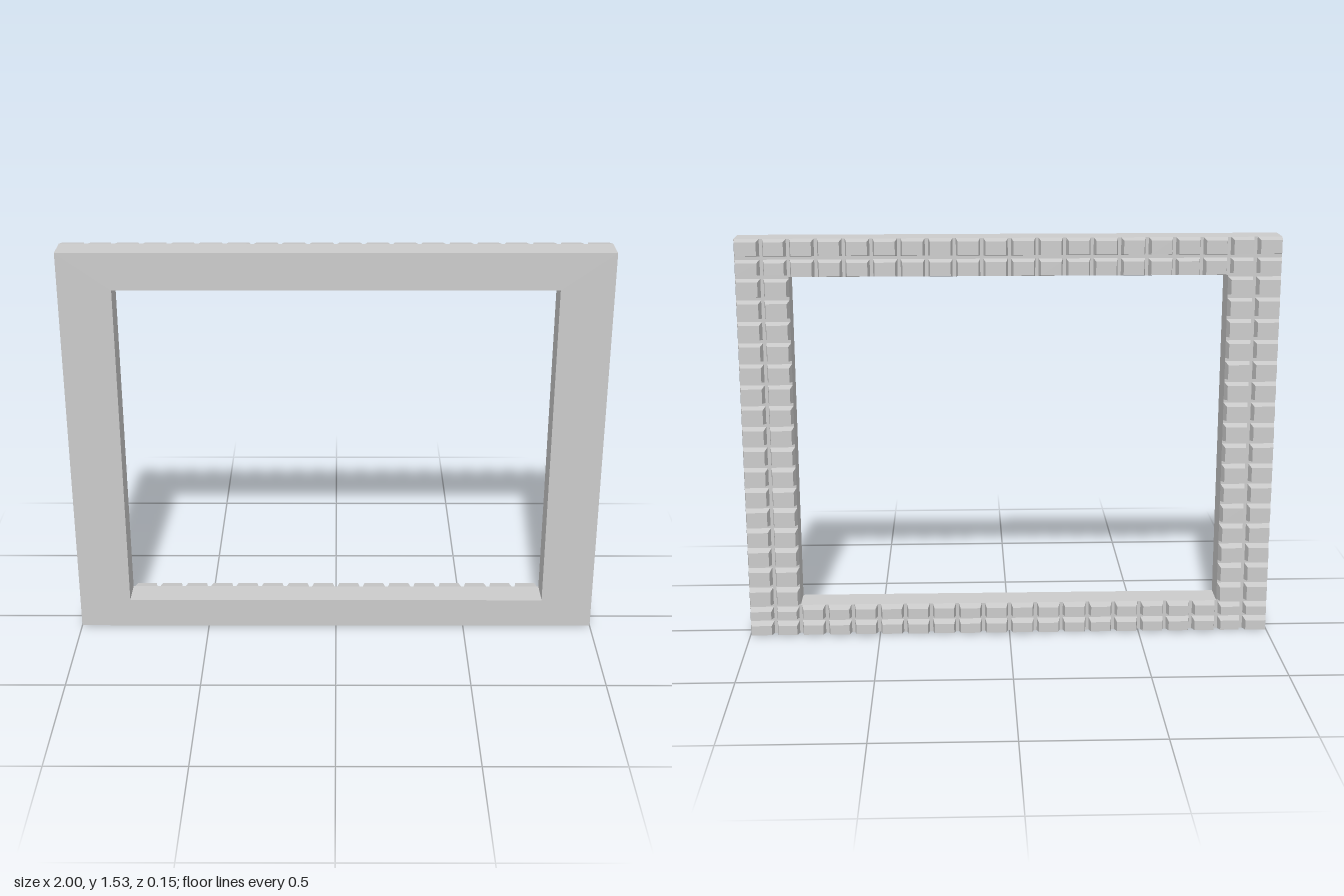
import * as THREE from 'three';
import { mergeGeometries } from 'three/addons/utils/BufferGeometryUtils.js';

const W = 1, H = 1.53;                      // outer half width and height
const IN_X = 0.805, IN_Y0 = 0.115, IN_Y1 = 1.39; // opening
const Z_FRONT = 0.074, Z_BASE = -0.035, Z_BACK = -0.074;
const GAP = 0.006, TAPER = 0.007;           // half groove width, slope of block sides

// Grid lines: two cells across each rail, n cells along the opening
function gridLines(a, b, c, d, n) {
  const lines = [a, (a + b) / 2];
  for (let i = 0; i <= n; i++) lines.push(b + (c - b) * i / n);
  lines.push((c + d) / 2, d);
  return lines;
}

// Block tapering towards the back
function block(x0, x1, y0, y1) {
  const g = new THREE.BoxGeometry(1, 1, 1);
  const p = g.attributes.position;
  for (let i = 0; i < p.count; i++) {
    const back = p.getZ(i) < 0, t = back ? TAPER : 0;
    p.setXYZ(i,
      p.getX(i) < 0 ? x0 + t : x1 - t,
      p.getY(i) < 0 ? y0 + t : y1 - t,
      back ? Z_BACK : Z_BASE);
  }
  g.computeVertexNormals();
  return g;
}

export function createModel() {
  const group = new THREE.Group();
  const material = new THREE.MeshStandardMaterial({ color: 0xcccccc, flatShading: true });

  // Flat rectangular frame with its opening
  const outline = new THREE.Shape([
    new THREE.Vector2(-W, 0), new THREE.Vector2(W, 0),
    new THREE.Vector2(W, H), new THREE.Vector2(-W, H)]);
  outline.holes.push(new THREE.Path([
    new THREE.Vector2(-IN_X, IN_Y0), new THREE.Vector2(-IN_X, IN_Y1),
    new THREE.Vector2(IN_X, IN_Y1), new THREE.Vector2(IN_X, IN_Y0)]));
  const frameGeo = new THREE.ExtrudeGeometry(outline, { depth: Z_FRONT - Z_BASE, bevelEnabled: false });
  frameGeo.translate(0, 0, Z_BASE);
  const frame = new THREE.Mesh(frameGeo, material);
  frame.name = 'frame';
  group.add(frame);

  // Grid of blocks on the back, separated by grooves
  const xs = gridLines(-W, -IN_X, IN_X, W, 16);
  const ys = gridLines(0, IN_Y0, IN_Y1, H, 16);
  const cols = xs.length - 1, rows = ys.length - 1;
  const filled = (i, j) => i >= 0 && j >= 0 && i < cols && j < rows &&
    (i < 2 || j < 2 || i >= cols - 2 || j >= rows - 2);
  const blocks = [];
  for (let i = 0; i < cols; i++) {
    for (let j = 0; j < rows; j++) {
      if (!filled(i, j)) continue;
      // Free edges stay flush with the frame; shared edges leave a groove
      const gap = (a, b) => (filled(a, b) ? GAP : 0);
      blocks.push(block(
        xs[i] + gap(i - 1, j), xs[i + 1] - gap(i + 1, j),
        ys[j] + gap(i, j - 1), ys[j + 1] - gap(i, j + 1)));
    }
  }
  const backBlocks = new THREE.Mesh(mergeGeometries(blocks), material);
  backBlocks.name = 'backBlocks';
  group.add(backBlocks);

  return group;
}
